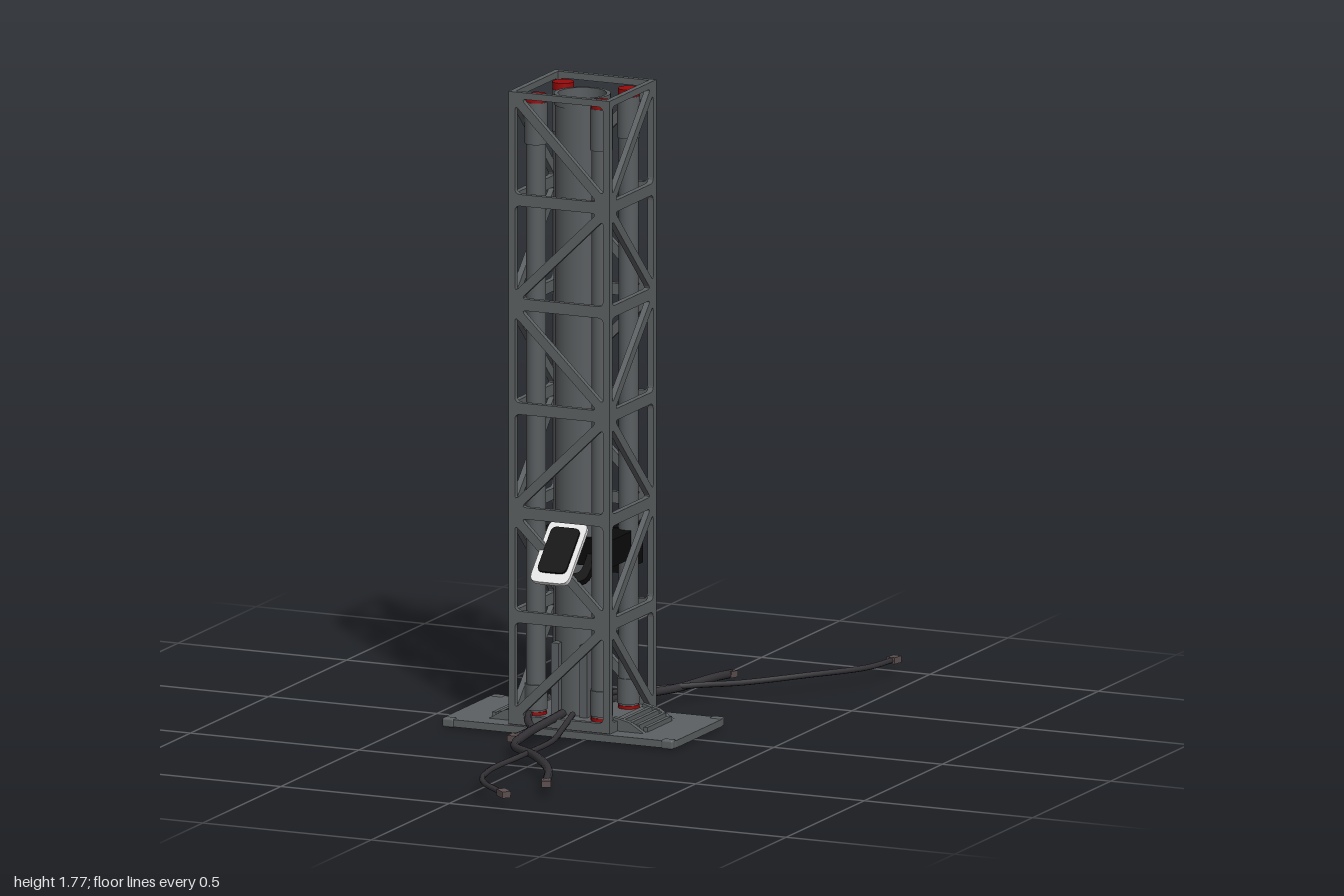
import * as THREE from 'three';
import { RoundedBoxGeometry } from 'three/addons/geometries/RoundedBoxGeometry.js';

const mat = (name, color, side = THREE.FrontSide) => {
  const m = new THREE.MeshStandardMaterial({ color, side });
  m.name = name;
  return m;
};

export function createModel() {
  const steel = mat('steel grey', 0x5c6062);
  const tubeGrey = mat('tube grey', 0x5a5e60);
  const black = mat('black', 0x0b0b0b);
  const white = mat('white', 0xe6e6e6);
  const red = mat('red', 0x9a0a0a);
  const rubber = mat('cable rubber', 0x343236);
  const plug = mat('plug', 0x5e5050);

  const root = new THREE.Group();
  const CX = -0.074, CZ = -0.012; // tower axis
  const add = (name, geo, material, x = 0, y = 0, z = 0, parent = root) => {
    const m = new THREE.Mesh(geo, material);
    m.name = name;
    m.position.set(x, y, z);
    parent.add(m);
    return m;
  };
  const box = (name, w, h, d, material, x, y, z, parent) =>
    add(name, new THREE.BoxGeometry(w, h, d), material, x, y, z, parent);
  const tube = (name, rOut, rIn, h, material, x, y, z, parent, seg = 24) => {
    const pts = [[rIn, 0], [rOut, 0], [rOut, 0], [rOut, h], [rOut, h], [rIn, h], [rIn, h], [rIn, 0]];
    return add(name, new THREE.LatheGeometry(pts.map(p => new THREE.Vector2(...p)), seg), material, x, y, z, parent);
  };

  // Closed outline with rounded corners
  const rounded = (pts, r, Type) => {
    const s = new Type();
    const v = pts.map(p => new THREE.Vector2(...p));
    v.forEach((p, i) => {
      const prev = v[(i + v.length - 1) % v.length], next = v[(i + 1) % v.length];
      const a = p.clone().add(prev.clone().sub(p).setLength(r));
      const b = p.clone().add(next.clone().sub(p).setLength(r));
      if (i) s.lineTo(a.x, a.y); else s.moveTo(a.x, a.y);
      s.quadraticCurveTo(p.x, p.y, b.x, b.y);
    });
    s.closePath();
    return s;
  };
  const rect = (w, h, r, Type) => rounded(
    [[-w / 2, -h / 2], [w / 2, -h / 2], [w / 2, h / 2], [-w / 2, h / 2]], r, Type);
  const extrude = (shape, depth) =>
    new THREE.ExtrudeGeometry(shape, { depth, bevelEnabled: false, curveSegments: 4 });

  // Base plate with chamfered corners and corner lugs
  const base = new THREE.Group();
  base.name = 'base';
  base.position.set(-0.075, 0, -0.02);
  root.add(base);
  const plate = add('basePlate', extrude(rect(0.69, 0.33, 0.025, THREE.Shape), 0.02), steel, 0, 0.003, 0, base);
  plate.rotation.x = -Math.PI / 2;
  for (const sx of [-1, 1]) for (const sz of [-1, 1])
    add('cornerLug', new RoundedBoxGeometry(0.035, 0.026, 0.025, 2, 0.006), steel, sx * 0.325, 0.013, sz * 0.155, base);

  // Slotted underside
  box('undersidePanel', 0.5, 0.004, 0.22, black, 0, 0.002, 0, base);
  for (let i = 0; i < 17; i++)
    box('undersideBar', 0.012, 0.004, 0.22, steel, -0.24 + i * 0.03, 0.002, 0, base);
  box('undersideSpine', 0.5, 0.004, 0.012, steel, 0, 0.002, 0, base);

  // Plinth and stepped side ribs
  box('plinth', 0.3, 0.025, 0.29, steel, 0, 0.034, 0.008, base);
  const ramp = new THREE.Shape([[0.14, 0.02], [0.235, 0.02], [0.185, 0.05], [0.14, 0.06]].map(p => new THREE.Vector2(...p)));
  for (const s of [-1, 1]) {
    const g = new THREE.Group();
    g.name = 'sideRamp';
    g.rotation.y = s > 0 ? 0 : Math.PI;
    g.position.z = 0.008;
    base.add(g);
    for (const z of [-0.1, 0.085]) add('gusset', extrude(ramp, 0.015), steel, 0, 0, z, g);
    for (let i = 0; i < 4; i++)
      box('rampRib', 0.012, 0.034 - i * 0.006, 0.2 - i * 0.015, steel, 0.162 + i * 0.021, 0.037 - i * 0.003, 0, g);
  }

  // Lattice tower: four trussed panels
  const Y0 = 0.035, STEP = 0.2875, BAYS = 6, HALF = 0.15, IN = 0.131;
  const trussPanel = flip => {
    const s = new THREE.Shape();
    s.moveTo(-HALF, 0.025).lineTo(HALF, 0.025).lineTo(HALF, 1.77).lineTo(-HALF, 1.77).closePath();
    for (let i = 0; i < BAYS; i++) {
      const a = Y0 + i * STEP + 0.016;
      const b = Y0 + (i + 1) * STEP - (i === BAYS - 1 ? 0.008 : 0.016);
      const d = 0.018, k = (i + flip) % 2 ? -1 : 1;
      s.holes.push(rounded([[k * IN, a], [k * IN, b - d], [k * (d - IN), a]], 0.016, THREE.Path));
      s.holes.push(rounded([[-k * IN, b], [-k * IN, a + d], [k * (IN - d), b]], 0.016, THREE.Path));
    }
    return extrude(s, 0.016);
  };
  const tower = new THREE.Group();
  tower.name = 'tower';
  tower.position.set(CX, 0, CZ);
  root.add(tower);
  const panels = [trussPanel(0), trussPanel(1)];
  for (let i = 0; i < 4; i++) {
    const side = new THREE.Group();
    side.name = 'towerSide';
    side.rotation.y = i * Math.PI / 2;
    tower.add(side);
    add('trussPanel', panels[i % 2], steel, 0, 0, HALF - 0.016, side);
  }

  // Central open tube
  tube('centralTube', 0.074, 0.066, 1.7, tubeGrey, 0, 0.045, 0, tower, 24);
  tube('centralTubeRim', 0.077, 0.066, 0.03, tubeGrey, 0, 1.72, 0, tower, 24);
  add('tubeCore', new THREE.CylinderGeometry(0.065, 0.065, 0.08, 24), black, 0, 0.5, 0, tower);
  for (const s of [-1, 1]) box('footBracket', 0.022, 0.2, 0.03, tubeGrey, s * 0.042, 0.145, 0.07, tower);

  // Corner tubes with collars and red end caps
  for (const sx of [-1, 1]) for (const sz of [-1, 1]) {
    const x = sx * 0.097, z = sz * 0.087;
    const cyl = (name, r, y0, y1, m) =>
      add(name, new THREE.CylinderGeometry(r, r, y1 - y0, 20), m, x, (y0 + y1) / 2, z, tower);
    cyl('cornerTube', 0.027, 0.055, 1.7, tubeGrey);
    cyl('lowerCollar', 0.031, 0.06, 0.13, tubeGrey);
    cyl('upperCollar', 0.031, 1.62, 1.735, tubeGrey);
    cyl('bottomCap', 0.029, 0.04, 0.055, red);
    cyl('topCap', 0.029, 1.735, 1.755, red);
  }

  // Black mounting collar round the central tube
  const collarShape = rect(0.24, 0.15, 0.03, THREE.Shape);
  collarShape.holes.push(new THREE.Path().absarc(0, 0, 0.07, 0, Math.PI * 2, true));
  const collar = add('mountCollar', extrude(collarShape, 0.075), black, 0, 0.465, 0, tower);
  collar.rotation.x = -Math.PI / 2;

  // Finned box at the back
  box('rearBox', 0.148, 0.125, 0.1, black, 0, 0.478, -0.13, tower);
  for (let i = 0; i < 8; i++)
    box('rearFin', 0.009, 0.125, 0.05, black, -0.0695 + i * 0.01985, 0.478, -0.203, tower);

  // Tilted head at the front: black ring behind, white plate with black pad
  const tilted = (name, geo, m, y, z) => {
    add(name, geo, m, 0, y, z, tower).rotation.x = -Math.PI / 4;
  };
  const ring = rect(0.15, 0.2, 0.035, THREE.Shape);
  ring.holes.push(rect(0.1, 0.15, 0.025, THREE.Path));
  tilted('headRing', extrude(ring, 0.02), black, 0.49, 0.055);
  tilted('headPlate', extrude(rect(0.115, 0.2, 0.025, THREE.Shape), 0.012), white, 0.505, 0.142);
  tilted('headPad', extrude(rect(0.085, 0.145, 0.018, THREE.Shape), 0.008), black, 0.514, 0.147);
  box('headArm', 0.03, 0.03, 0.08, black, 0, 0.5, 0.1, tower);

  // Loose cables on the ground, ending in plugs: radius then x, z points
  const cables = [
    [0.008, [[-0.09, -0.08], [-0.11, -0.24], [-0.05, -0.33], [0.066, -0.43], [0.16, -0.53], [0.29, -0.675], [0.385, -0.84], [0.405, -0.975]]],
    [0.012, [[-0.06, -0.08], [-0.03, -0.25], [0.03, -0.4], [0.068, -0.53], [0.08, -0.63]]],
    [0.012, [[-0.09, 0.08], [-0.09, 0.32], [-0.065, 0.44], [0.04, 0.54], [0.135, 0.66], [0.2, 0.81]]],
    [0.008, [[-0.06, 0.08], [-0.033, 0.2], [0, 0.34], [0.01, 0.55], [0, 0.74], [0.055, 0.9], [0.15, 0.975]]],
    [0.011, [[-0.2, 0.06], [-0.155, 0.16], [-0.11, 0.24], [-0.115, 0.335]]],
  ];
  for (const [r, pts] of cables) {
    const last = pts.length - 1;
    const curve = new THREE.CatmullRomCurve3(pts.map(([x, z], i) =>
      new THREE.Vector3(x, i === 0 ? 0.055 : i === last ? 0.037 : 0.04 + 0.004 * (i % 2), z)));
    add('cable', new THREE.TubeGeometry(curve, 48, r, 8), rubber);
    const end = box('cablePlug', 0.025, 0.018, 0.035, plug, ...curve.getPoint(1).toArray());
    end.lookAt(curve.getPoint(1).add(curve.getTangent(1)));
  }
  return root;
}
